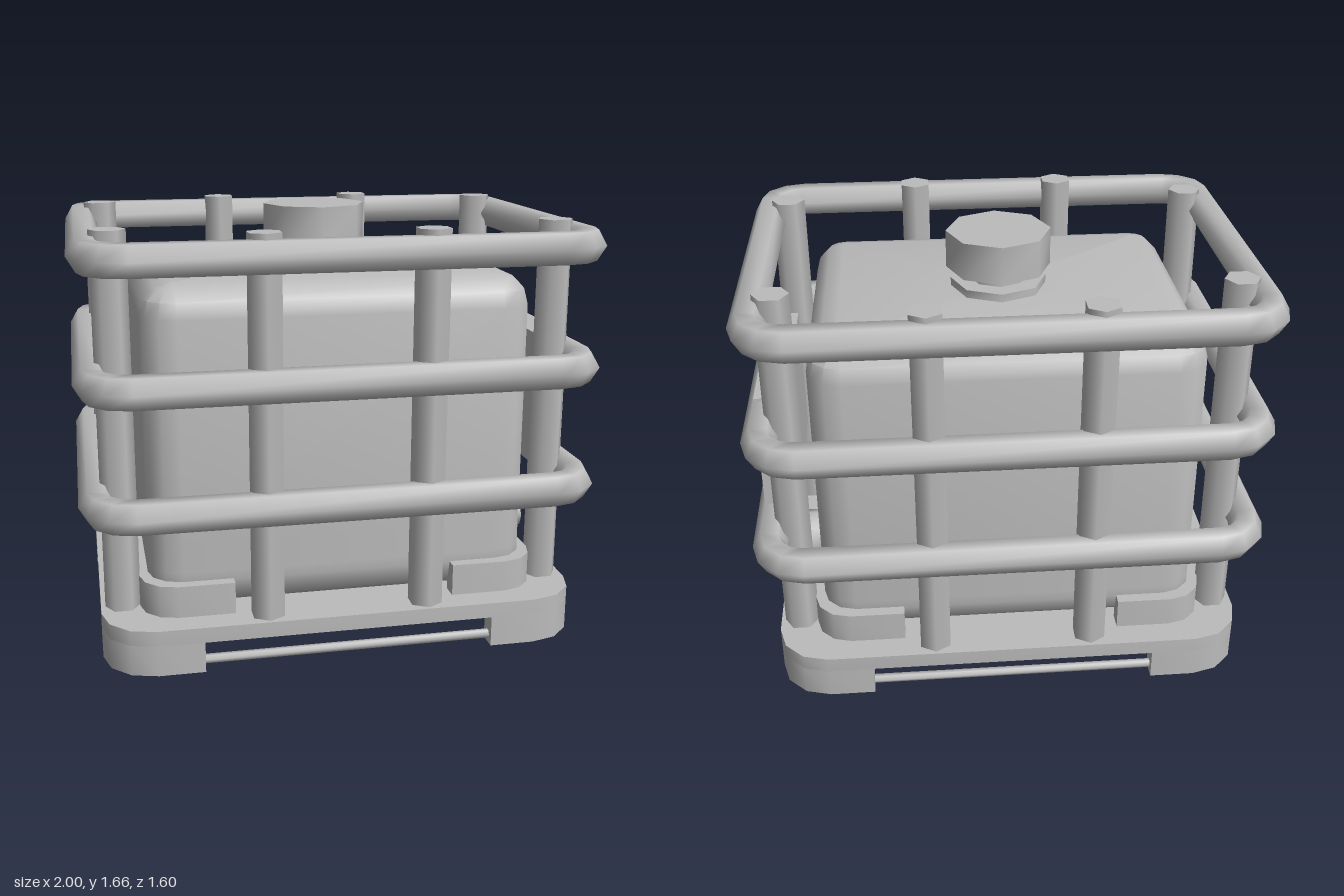
import * as THREE from 'three';
import { toCreasedNormals } from 'three/addons/utils/BufferGeometryUtils.js';

const grey = new THREE.MeshStandardMaterial({ color: 0xbcbcbc, side: THREE.DoubleSide });
grey.name = 'grey plastic and metal';

// Arc points in plan, as [x, z]
function arc(cx, cz, r, from, to, n = 3) {
  return Array.from({ length: n + 1 }, (_, i) => {
    const a = from + (to - from) * i / n;
    return [cx + r * Math.cos(a), cz + r * Math.sin(a)];
  });
}

// Rounded rectangle in plan, starting and ending on the +x side
function roundedRect(hx, hz, r) {
  const q = Math.PI / 2;
  return [[1, 1], [-1, 1], [-1, -1], [1, -1]].flatMap(([sx, sz], i) =>
    arc(sx * (hx - r), sz * (hz - r), r, i * q, (i + 1) * q));
}

// Skin through closed loops of [x, y, z] with equal point counts
function loft(loops, crease, closed = false) {
  const n = loops[0].length, m = loops.length, index = [];
  for (let i = 0; i < (closed ? m : m - 1); i++) {
    for (let j = 0; j < n; j++) {
      const k = (j + 1) % n, next = (i + 1) % m;
      const a = i * n + j, b = i * n + k, c = next * n + j, d = next * n + k;
      index.push(a, c, b, b, c, d);
    }
  }
  const geo = new THREE.BufferGeometry();
  geo.setAttribute('position', new THREE.Float32BufferAttribute(loops.flat(2), 3));
  geo.setIndex(index);
  geo.computeVertexNormals();
  return crease ? toCreasedNormals(geo, crease) : geo;
}

// Plan outline extruded between two heights
function slab(points, y0, y1) {
  const shape = new THREE.Shape(points.map(p => new THREE.Vector2(...p)));
  const geo = new THREE.ExtrudeGeometry(shape, { depth: y1 - y0, bevelEnabled: false });
  geo.rotateX(Math.PI / 2).translate(0, y1, 0);
  return toCreasedNormals(geo, 0.6);
}

// L-shaped rounded corner wall in plan, for one quadrant
function cornerWall(sx, sz, hx, hz, xEnd, zEnd, r, t) {
  const q = Math.PI / 2;
  return [
    [hx, zEnd], ...arc(hx - r, hz - r, r, 0, q), [xEnd, hz],
    [xEnd, hz - t], ...arc(hx - r, hz - r, r - t, q, 0), [hx - t, zEnd],
  ].map(([x, z]) => [x * sx, z * sz]);
}

// Horizontal rail: hexagonal section swept round a rounded rectangle
function rail(hx, hz, r, y, tube) {
  const loops = [];
  for (let i = 0; i < 6; i++) {
    const a = i * Math.PI / 3, d = tube * Math.cos(a);
    loops.push(roundedRect(hx + d, hz + d, r + d).map(([x, z]) => [x, y + tube * Math.sin(a), z]));
  }
  return loft(loops, 0, true);
}

// Tank body with a conical recess for the outlet on the +x face
function tankGeometry() {
  const levels = [];
  const R = 0.12, y0 = 0.18, y1 = 1.435;
  for (let i = 0; i <= 3; i++) {
    const a = i * Math.PI / 6;
    levels.push([y0 + R * (1 - Math.cos(a)), R * (1 - Math.sin(a))]);
  }
  for (const y of [0.34, 0.37, 0.4, 0.43, 0.46]) levels.push([y, 0]);
  for (let i = 0; i <= 3; i++) {
    const a = i * Math.PI / 6;
    levels.push([y1 - R * (1 - Math.sin(a)), R * (1 - Math.cos(a))]);
  }
  const half = (r, dy) => Math.sqrt(Math.max(0, r * r - dy * dy));
  const loops = levels.map(([y, inset]) => {
    const face = 0.75 - inset, dy = Math.abs(y - 0.27);
    const w = half(0.19, dy), wi = half(0.1, dy);
    const depth = 0.17 * THREE.MathUtils.clamp((0.19 - dy) / 0.09, 0, 1);
    const xi = Math.min(face, 0.75 - depth);
    return [
      ...roundedRect(face, 0.605 - inset, 0.13 - inset),
      [face, -w], [xi, -wi], [xi, wi], [face, w],
    ].map(([x, z]) => [x, y, z]);
  });
  const point = y => loops[0].map(() => [0, y, 0]);
  return loft([point(y0), ...loops, point(y1)], 0.65);
}

export function createModel() {
  const model = new THREE.Group();
  model.name = 'cagedTank';
  const add = (name, geo, x = 0, y = 0, z = 0) => {
    const mesh = new THREE.Mesh(geo, grey);
    mesh.name = name;
    mesh.position.set(x, y, z);
    model.add(mesh);
    return mesh;
  };

  add('tank', tankGeometry());

  // Pallet deck, notched for the drain trough
  const deck = [...roundedRect(0.935, 0.755, 0.2), [0.935, -0.19], [0.62, -0.19], [0.62, 0.19], [0.935, 0.19]];
  add('palletDeck', slab(deck, 0.12, 0.18));

  // Feet and tank brackets at the four corners
  for (const sx of [1, -1]) {
    for (const sz of [1, -1]) {
      add('palletFoot', slab(cornerWall(sx, sz, 0.935, 0.755, 0.56, 0.37, 0.2, 0.08), 0, 0.12));
      add('tankBracket', slab(cornerWall(sx, sz, 0.785, 0.65, 0.43, 0.29, 0.14, 0.07), 0.18, 0.305));
    }
  }
  add('palletRunner', rail(0.895, 0.715, 0.16, 0.035, 0.018));

  // Cage rails
  for (const y of [0.625, 1.09, 1.555]) add('cageRail', rail(0.933, 0.733, 0.14, y, 0.067));

  // Cage posts
  const postHeight = 1.455;
  for (const a of [1, -1]) {
    for (const b of [1, -1]) {
      const post = new THREE.CylinderGeometry(0.068, 0.068, postHeight, 6);
      add('endPost', post, a * 0.31, 0.18 + postHeight / 2, b * 0.675);
      add('sidePost', post, a * 0.85, 0.18 + postHeight / 2, b * 0.49).rotation.y = Math.PI / 2;
    }
  }

  // Filler neck and lid
  const disc = (name, r, y0, y1) =>
    add(name, toCreasedNormals(new THREE.CylinderGeometry(r, r, y1 - y0, 8), 0.8), 0, (y0 + y1) / 2, 0);
  disc('fillerFlange', 0.19, 1.43, 1.467);
  disc('fillerNeck', 0.115, 1.46, 1.53);
  disc('fillerLid', 0.207, 1.515, 1.665);

  // Sign panel on the outlet side
  add('signPanel', new THREE.BoxGeometry(0.125, 0.54, 0.77), 0.9025, 0.89, 0);

  // Drain trough under the outlet
  const trough = new THREE.Shape([
    [-0.2, 0.18], [-0.2, 0.12], [-0.13, 0.04], [-0.06, 0.01], [0, 0], [0.06, 0.01], [0.13, 0.04], [0.2, 0.12],
    [0.2, 0.18], [0.18, 0.18], [0.15, 0.125], [0.08, 0.085], [0, 0.068], [-0.08, 0.085], [-0.15, 0.125], [-0.18, 0.18],
  ].map(p => new THREE.Vector2(...p)));
  const troughGeo = new THREE.ExtrudeGeometry(trough, { depth: 0.245, bevelEnabled: false });
  add('drainTrough', toCreasedNormals(troughGeo.rotateY(Math.PI / 2), 0.6), 0.69);
  const cone = new THREE.CylinderGeometry(0.19, 0.1, 0.17, 6, 1, true, 0, Math.PI);
  add('recessFloor', cone.rotateZ(-Math.PI / 2), 0.665, 0.27, 0);

  // Stepped outlet valve, turned about the x axis
  const profile = [
    [0, 0.56], [0.085, 0.56], [0.085, 0.76], [0.11, 0.76], [0.11, 0.84], [0.09, 0.84],
    [0.09, 0.885], [0.065, 0.885], [0.065, 0.935], [0.04, 0.935], [0.04, 0.89], [0, 0.89],
  ].map(p => new THREE.Vector2(...p));
  const valve = new THREE.LatheGeometry(profile, 8).rotateZ(-Math.PI / 2);
  add('outletValve', toCreasedNormals(valve, 0.8), 0, 0.26, 0);

  return model;
}
